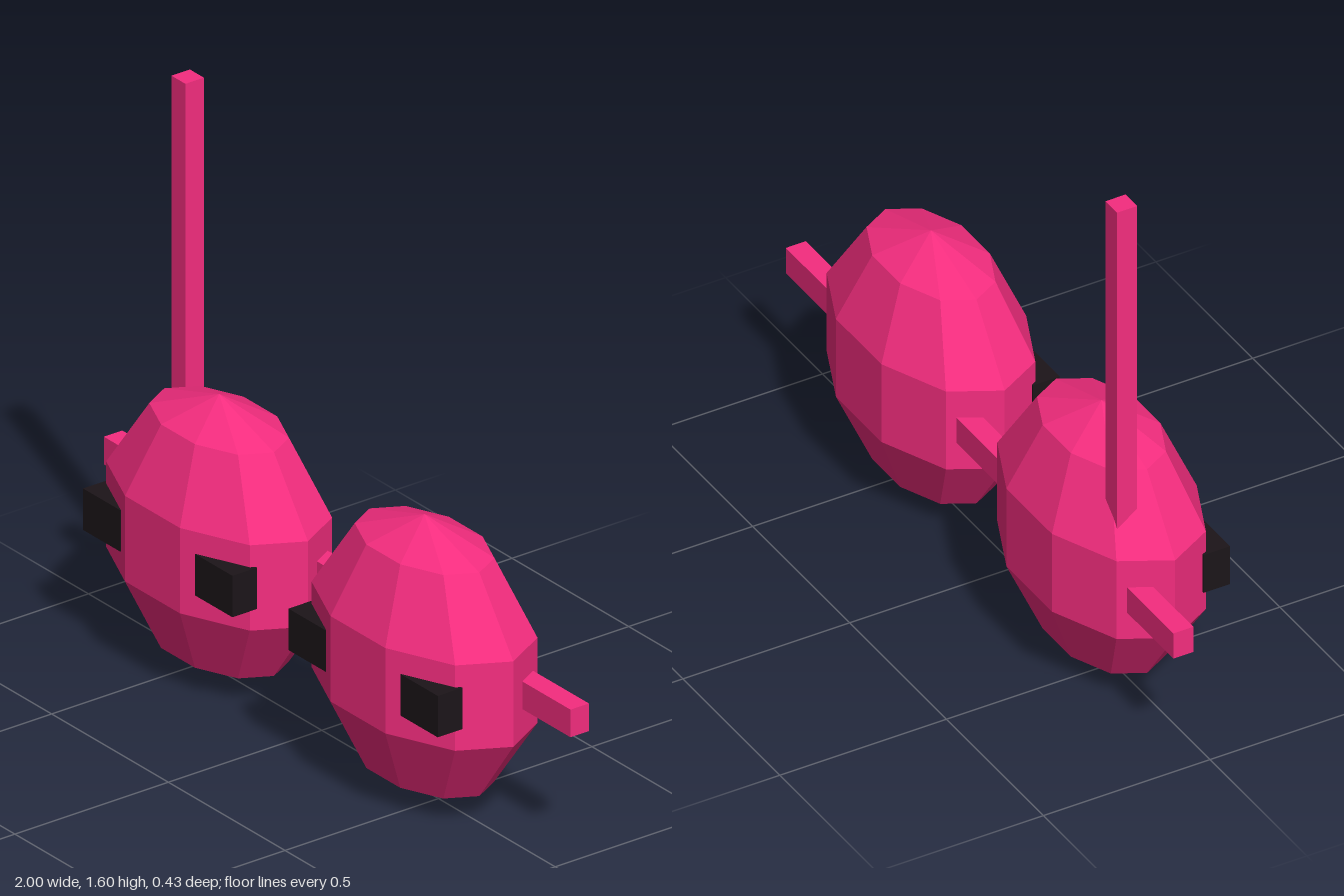
import * as THREE from 'three';

export function createModel() {
  const group = new THREE.Group();
  const pink = new THREE.MeshStandardMaterial({ color: 0xf52d7f, flatShading: true });
  const black = new THREE.MeshStandardMaterial({ color: 0x1c1519, flatShading: true });

  const add = (name, geometry, material, x, y, z) => {
    const mesh = new THREE.Mesh(geometry, material);
    mesh.name = name;
    mesh.position.set(x, y, z);
    group.add(mesh);
    return mesh;
  };

  // Two flattened low-poly bodies, each with a pair of block eyes
  const bodyGeometry = new THREE.SphereGeometry(0.4, 10, 5).scale(1, 1, 0.6);
  const eyeGeometry = new THREE.BoxGeometry(0.16, 0.12, 0.08);
  for (const [side, sx] of [['left', 1], ['right', -1]]) {
    add(side + 'Body', bodyGeometry, pink, sx * 0.44, 0.4, 0);
    add(side + 'OuterEye', eyeGeometry, black, sx * 0.68, 0.4, 0.16);
    add(side + 'InnerEye', eyeGeometry, black, sx * 0.2, 0.4, 0.16);
  }

  // Bar running through both bodies
  add('crossBar', new THREE.BoxGeometry(2, 0.08, 0.06), pink, 0, 0.4, -0.08);

  // Upright rod rising from the right body
  add('uprightRod', new THREE.BoxGeometry(0.06, 1.2, 0.06), pink, -0.68, 1.0, -0.08);

  return group;
}
